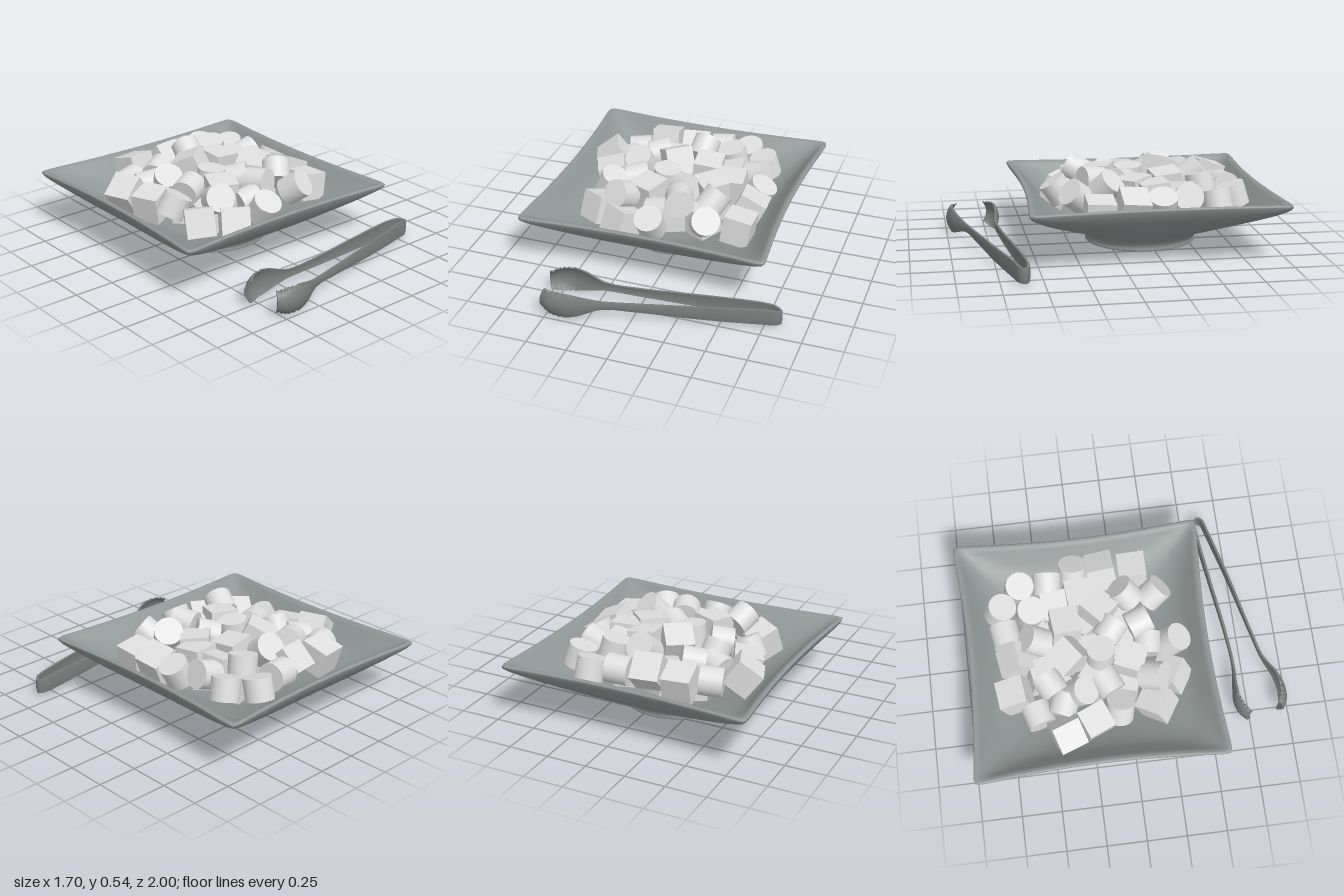
import * as THREE from 'three';
import { toCreasedNormals } from 'three/addons/utils/BufferGeometryUtils.js';

const mat = (name, color) => {
  const m = new THREE.MeshStandardMaterial({ color });
  m.name = name;
  return m;
};

const geometryFrom = (pos, idx) => {
  const g = new THREE.BufferGeometry();
  g.setAttribute('position', new THREE.Float32BufferAttribute(pos, 3));
  g.setIndex(idx);
  g.computeVertexNormals();
  return g;
};

// Bowl: superellipse rings morphing from a round foot to a square rim with hollow sides.
function bowlGeometry() {
  // half width, height, squareness: under the foot, up the outside, over the lip, down the inside
  const profile = [
    [0.001, 0.015, 0], [0.2, 0.015, 0], [0.31, 0.014, 0], [0.335, 0.002, 0], [0.349, 0.006, 0],
    [0.35, 0.03, 0], [0.367, 0.06, 0.02], [0.415, 0.094, 0.08], [0.51, 0.138, 0.24], [0.61, 0.19, 0.45],
    [0.7, 0.25, 0.7], [0.755, 0.303, 0.9], [0.785, 0.345, 1], [0.79, 0.362, 1], [0.778, 0.37, 1],
    [0.757, 0.364, 1], [0.72, 0.33, 0.94], [0.63, 0.245, 0.73], [0.5, 0.168, 0.43], [0.38, 0.112, 0.17],
    [0.27, 0.07, 0], [0.12, 0.055, 0], [0.001, 0.053, 0],
  ];
  const curve = new THREE.CatmullRomCurve3(profile.map((p) => new THREE.Vector3(...p)));
  const rings = 88, seg = 256, pos = [], idx = [];
  for (let i = 0; i <= rings; i++) {
    const { x: w, y, z } = curve.getPoint(i / rings);
    const sq = THREE.MathUtils.clamp(z, 0, 1), n = 2 / (1 - 0.95 * sq);
    for (let j = 0; j < seg; j++) {
      const a = (j / seg) * Math.PI * 2, c = Math.cos(a), s = Math.sin(a);
      const ac = Math.abs(c), as = Math.abs(s);
      const t = Math.min(ac, as) / Math.max(ac, as);
      const r = w * (ac ** n + as ** n) ** (-1 / n) * (1 - 0.055 * sq * (1 - t * t));
      pos.push(r * c, y, r * s);
      if (i < rings) {
        const k = i * seg + j, m = i * seg + ((j + 1) % seg);
        idx.push(k, k + seg, m, m, k + seg, m + seg);
      }
    }
  }
  return geometryFrom(pos, idx);
}

// Tongs: one bent band, from the back tip round the bend to the front tip.
function tongsGeometry() {
  // x, z, lower edge, upper edge
  const path = [
    [-0.575, 0.725, 0.022, 0.16], [-0.52, 0.683, 0.006, 0.17], [-0.45, 0.664, 0.003, 0.172],
    [-0.36, 0.671, 0.02, 0.155], [-0.22, 0.688, 0.056, 0.11], [0, 0.674, 0.052, 0.107],
    [0.4, 0.624, 0.03, 0.115], [0.7, 0.589, 0.018, 0.117], [0.8, 0.585, 0.013, 0.108],
    [0.841, 0.608, 0.01, 0.1], [0.824, 0.64, 0.013, 0.108], [0.74, 0.666, 0.016, 0.117],
    [0.4, 0.754, 0.03, 0.115], [0, 0.844, 0.052, 0.107], [-0.18, 0.89, 0.056, 0.11],
    [-0.31, 0.96, 0.02, 0.155], [-0.4, 0.99, 0.003, 0.172], [-0.48, 0.988, 0.006, 0.17],
    [-0.535, 0.96, 0.022, 0.16],
  ];
  const line = new THREE.CatmullRomCurve3(path.map((p) => new THREE.Vector3(p[0], 0, p[1])));
  const edge = new THREE.CatmullRomCurve3(
    path.map((p) => new THREE.Vector3(p[2], p[3], 0)), false, 'catmullrom');
  const steps = 240, K = 21, L = 2 * K, half = 0.007, pos = [], idx = [];
  for (let i = 0; i <= steps; i++) {
    const u = i / steps, p = line.getPoint(u), e = edge.getPoint(u), T = line.getTangent(u);
    const N = new THREE.Vector3(T.z, 0, -T.x);
    const d = Math.min(u, 1 - u);
    const cup = 0.004 + 0.03 * (1 - THREE.MathUtils.smoothstep(d, 0.06, 0.23));
    // scalloped long edges near the tips
    const scallop = d < 0.125 ? 0.008 * Math.abs(Math.sin((d / 0.025) * Math.PI)) : 0;
    for (let j = 0; j < L; j++) {
      const q = j < K ? j : L - 1 - j, v = (q / (K - 1)) * 2 - 1;
      const off = (j < K ? half : -half) - cup * v * v;
      const y = (e.x + e.y) / 2 + v * ((e.y - e.x) / 2 - scallop * v ** 4);
      pos.push(p.x + N.x * off, y, p.z + N.z * off);
      if (i < steps) {
        const a = i * L + j, b = i * L + ((j + 1) % L);
        idx.push(a, b, a + L, b, b + L, a + L);
      }
    }
  }
  // end faces
  const base = steps * L;
  for (let j = 0; j < K - 1; j++) {
    const o = j, o2 = j + 1, n = L - 1 - j, n2 = L - 2 - j;
    idx.push(o, n, o2, o2, n, n2);
    idx.push(base + o, base + o2, base + n, base + o2, base + n2, base + n);
  }
  return toCreasedNormals(geometryFrom(pos, idx), 0.8);
}

// x, y, z, yaw, pitch, roll
const cubes = [
  [-0.32, 0.35, -0.7, 0.12, -0.3, 0], [-0.1, 0.36, -0.66, 0.15, -0.8, 0],
  [-0.59, 0.335, -0.41, 0.35, 0, 0.65], [-0.53, 0.31, -0.23, 0.4, 0, 0.2],
  [-0.13, 0.415, -0.35, 0.6, -0.45, 0.05], [0.08, 0.385, -0.35, 0.1, 0.1, -0.1],
  [0.27, 0.36, -0.24, 0.1, 0.1, 0], [0.17, 0.37, -0.13, 0.75, 0.1, 0.05],
  [0.44, 0.33, -0.08, 0.08, -0.1, -0.45], [0.43, 0.3, 0.12, 0, -0.05, -0.15],
  [-0.19, 0.38, 0.03, -0.4, 0.1, 0], [-0.46, 0.295, 0.16, -0.6, -0.35, 0.1],
  [-0.28, 0.285, 0.27, -0.55, -0.4, 0], [-0.2, 0.3, -0.52, 0.2, 0.2, 0],
  [0.23, 0.34, -0.39, 0.1, 0, 0.2],
];

// x, y, z, heading of the axis, lean of the axis from upright
const rolls = [
  [-0.46, 0.33, -0.57, -0.3, 1.5], [-0.29, 0.385, -0.48, -0.5, 1.35], [-0.42, 0.35, -0.41, 0.4, 1.4],
  [-0.36, 0.39, -0.3, 1.9, 0.6], [0.07, 0.36, -0.72, -0.15, 1.5], [0.25, 0.34, -0.74, 1.8, 0.3],
  [0.39, 0.34, -0.61, 2.6, 0.3], [0.19, 0.4, -0.55, 2.5, 0.25], [-0.01, 0.43, -0.54, -1.4, 0.9],
  [0.38, 0.36, -0.43, 0.1, 1.25], [0.45, 0.34, -0.26, 0.1, 0.5], [-0.32, 0.38, -0.13, -0.45, 1.4],
  [-0.48, 0.34, -0.07, 0.3, 0.5], [-0.13, 0.4, -0.15, 0.5, 0.1], [0.02, 0.39, -0.07, 0.7, 1.35],
  [0.24, 0.41, 0.05, -0.9, 0.8], [0.04, 0.41, 0.11, 1.22, 1.45], [-0.32, 0.41, 0.16, 1.95, 1.1],
  [-0.08, 0.33, 0.15, 0.1, 1.4], [0.24, 0.36, 0.23, 1.1, 0.95], [-0.08, 0.335, 0.31, 1.6, 0.6],
];

export function createModel() {
  const model = new THREE.Group();
  model.name = 'sugarBowlWithTongs';
  const bowlMat = mat('greyGlaze', 0x909695);
  const sugarMat = mat('whiteSugar', 0xdedede);
  const tongsMat = mat('steel', 0x7b7d7c);

  const add = (parent, name, geo, material, x = 0, y = 0, z = 0) => {
    const mesh = new THREE.Mesh(geo, material);
    mesh.name = name;
    mesh.position.set(x, y, z);
    parent.add(mesh);
    return mesh;
  };

  add(model, 'bowl', bowlGeometry(), bowlMat, -0.072, 0, -0.216);
  add(model, 'tongs', tongsGeometry(), tongsMat);

  const sugar = new THREE.Group();
  sugar.name = 'sugarPieces';
  model.add(sugar);
  const cubeGeo = new THREE.BoxGeometry(0.175, 0.175, 0.175);
  const rollGeo = new THREE.CylinderGeometry(0.088, 0.088, 0.14, 32);
  const up = new THREE.Vector3(0, 1, 0);

  for (const [x, y, z, yaw, pitch, roll] of cubes)
    add(sugar, 'sugarCube', cubeGeo, sugarMat, x, y, z).rotation.set(pitch, yaw, roll, 'YXZ');

  for (const [x, y, z, heading, lean] of rolls) {
    const axis = new THREE.Vector3(
      Math.sin(lean) * Math.cos(heading), Math.cos(lean), Math.sin(lean) * Math.sin(heading));
    add(sugar, 'sugarCylinder', rollGeo, sugarMat, x, y, z).quaternion.setFromUnitVectors(up, axis);
  }

  // lower layer that carries the heap
  for (let i = -1; i <= 1; i++)
    for (let k = -1; k <= 1; k++)
      add(sugar, 'lowerSugarCube', cubeGeo, sugarMat, -0.06 + i * 0.21, 0.225, -0.22 + k * 0.21)
        .rotation.y = i * 0.7 + k * 0.4;
  return model;
}
